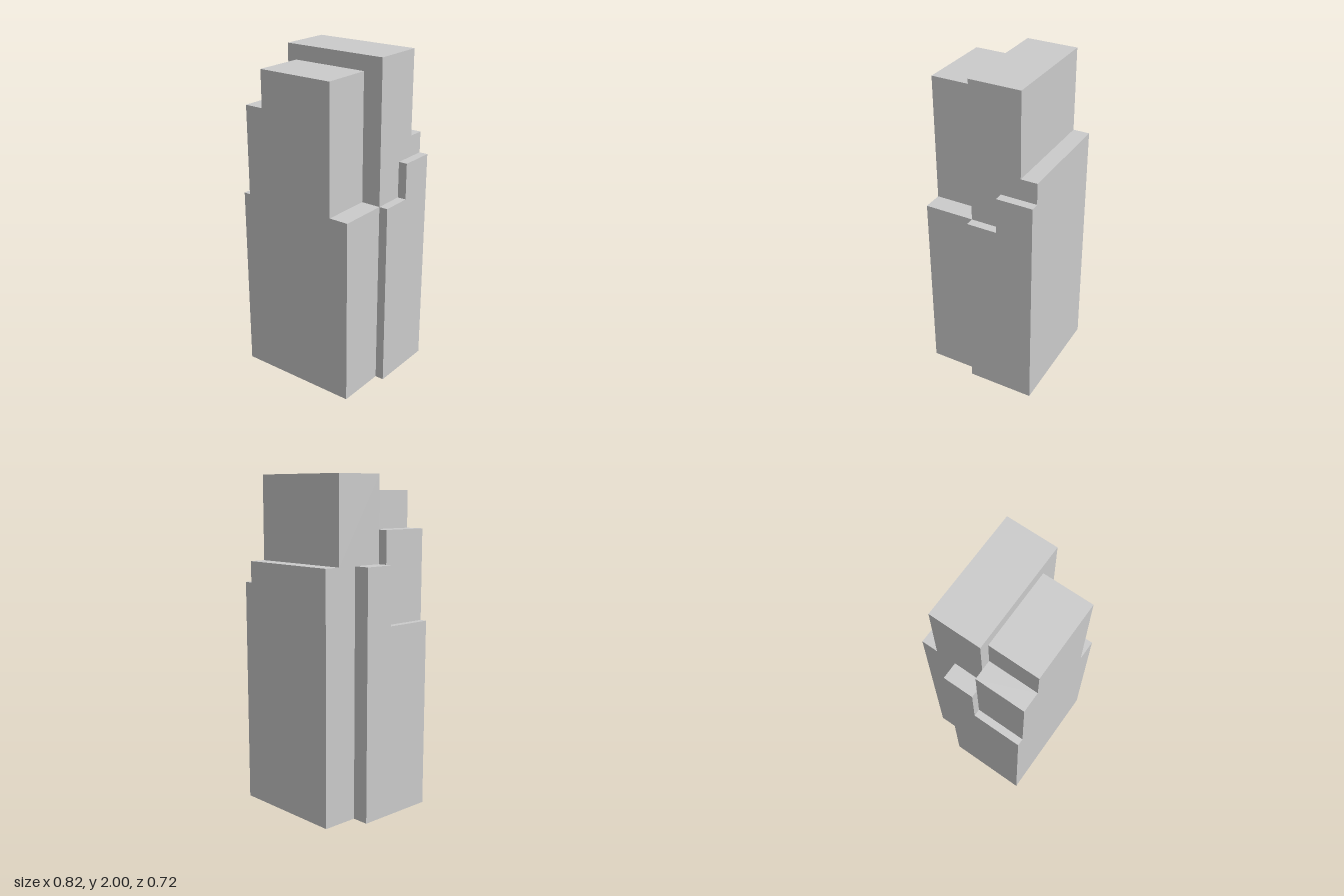
import * as THREE from 'three';

const material = new THREE.MeshStandardMaterial({ color: 0xcccccc, flatShading: true });

// Extrude a stepped outline; points are [horizontal, height].
function extrude(name, points, depth) {
  const shape = new THREE.Shape(points.map(([a, b]) => new THREE.Vector2(a, b)));
  const geometry = new THREE.ExtrudeGeometry(shape, { depth, bevelEnabled: false });
  const mesh = new THREE.Mesh(geometry, material);
  mesh.name = name;
  return mesh;
}

// Stepped outline in the z-y plane, extruded from xMin to xMax.
function sideProfile(name, points, xMin, xMax) {
  const mesh = extrude(name, points, xMax - xMin);
  mesh.rotation.y = -Math.PI / 2;
  mesh.position.x = xMax;
  return mesh;
}

export function createModel() {
  const model = new THREE.Group();
  model.name = 'steppedTower';

  const back = -0.358, seam = 0.053, front = 0.358;

  // Front block with setbacks on both sides
  const frontBlock = extrude('frontBlock', [
    [-0.41, 0], [0.356, 0], [0.356, 1.143], [0.235, 1.143], [0.235, 1.91],
    [-0.246, 1.91], [-0.246, 1.688], [-0.367, 1.688], [-0.367, 1.143], [-0.41, 1.143],
  ], front - seam);
  frontBlock.position.z = seam;
  model.add(frontBlock);

  // Main tower with a lower ledge along the back
  model.add(sideProfile('mainTower', [
    [back, 0], [seam, 0], [seam, 2], [-0.258, 2], [-0.258, 1.492], [back, 1.492],
  ], -0.308, 0.356));

  // Shallow stepped wing on the +x side
  model.add(sideProfile('leftWing', [
    [back, 0], [seam, 0], [seam, 1.143], [-0.136, 1.143], [-0.136, 1.363], [back, 1.363],
  ], 0.356, 0.41));

  // Plain wing on the -x side
  model.add(sideProfile('rightWing', [
    [-0.136, 0], [seam, 0], [seam, 1.492], [-0.136, 1.492],
  ], -0.41, -0.308));

  return model;
}
